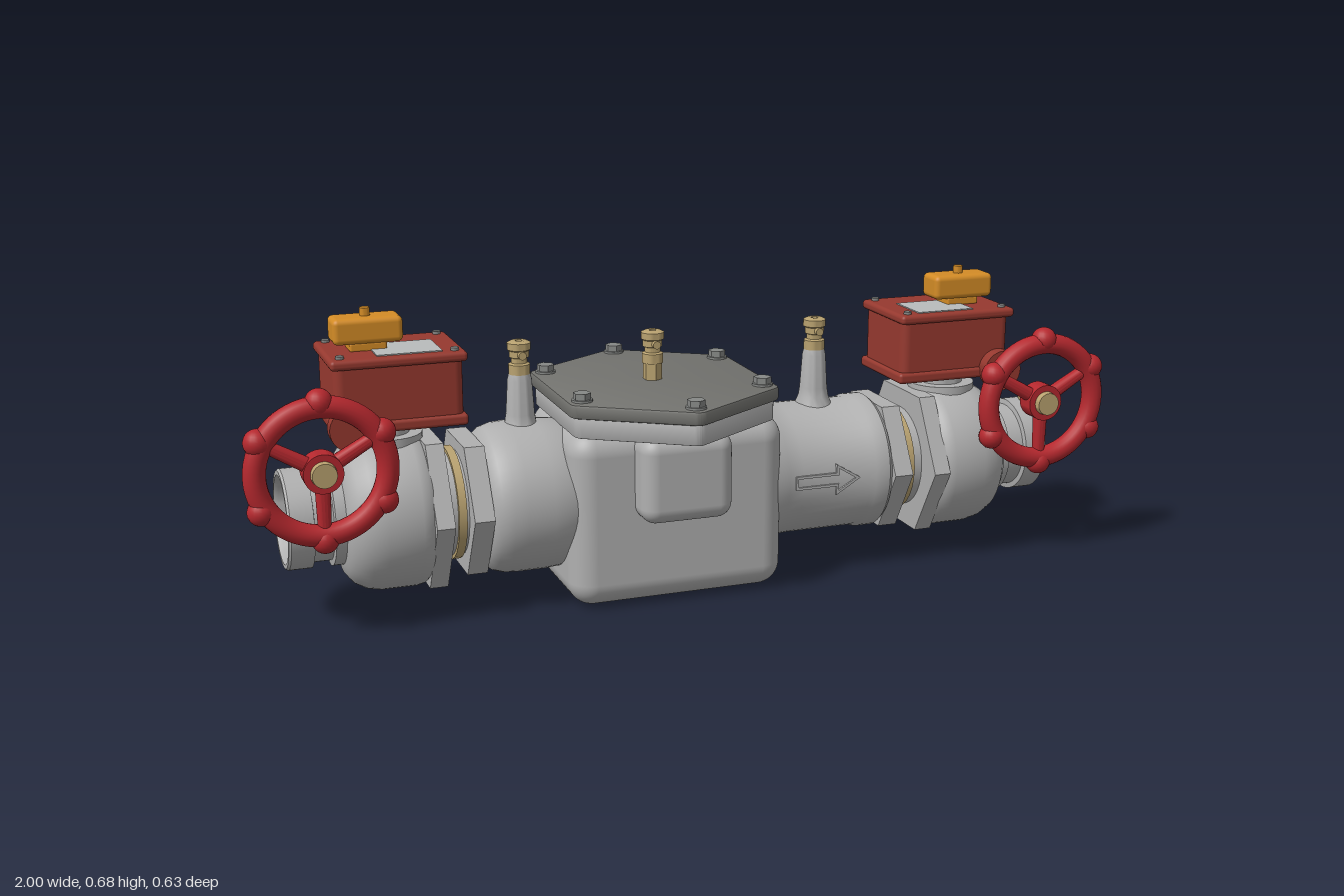
import * as THREE from 'three';
import { toCreasedNormals } from 'three/addons/utils/BufferGeometryUtils.js';
import { RoundedBoxGeometry } from 'three/addons/geometries/RoundedBoxGeometry.js';

const AXIS = 0.23; // height of the pipe centre line
const CX = -0.06; // centre of the check body

const mat = (name, color) => {
  const m = new THREE.MeshStandardMaterial({ color });
  m.name = name;
  return m;
};

export function createModel() {
  const cast = mat('cast grey', 0xb0b0b0);
  const dark = mat('cover grey', 0x73736f);
  const steel = mat('bolt steel', 0x868886);
  const boxRed = mat('housing red', 0x96392f);
  const wheelRed = mat('handwheel red', 0xb5282e);
  const orange = mat('indicator orange', 0xd48c26);
  const brass = mat('brass', 0xb9a270);
  const label = mat('label grey', 0xb9bcbc);

  const root = new THREE.Group();
  root.name = 'backflowPreventer';

  const add = (parent, name, geo, material, x = 0, y = 0, z = 0) => {
    const m = new THREE.Mesh(geo, material);
    m.name = name;
    m.position.set(x, y, z);
    parent.add(m);
    return m;
  };
  const crease = (g, a = 0.6) => toCreasedNormals(g, a);
  const lathe = (pts, n = 48) =>
    crease(new THREE.LatheGeometry(pts.map(p => new THREE.Vector2(p[0], p[1])), n));
  const cyl = (r, h, n = 32, r2 = r) => crease(new THREE.CylinderGeometry(r2, r, h, n));
  const rbox = (w, h, d, r, s = 4) => new RoundedBoxGeometry(w, h, d, s, r);
  const alongX = g => g.rotateZ(-Math.PI / 2);
  const alongZ = g => g.rotateX(Math.PI / 2);

  // Long hexagon plate with chamfered edges, lying flat with its base at y = 0
  const hexPlate = (hw, hz, side, h, b) => {
    const corners = [[0, hz], [hw, side], [hw, -side], [0, -hz], [-hw, -side], [-hw, side]]
      .map(p => new THREE.Vector2(p[0], p[1]));
    const s = new THREE.Shape();
    corners.forEach((c, i) => {
      const toward = q => c.clone().add(q.clone().sub(c).setLength(0.015));
      const a = toward(corners[(i + 5) % 6]), e = toward(corners[(i + 1) % 6]);
      if (i) s.lineTo(a.x, a.y); else s.moveTo(a.x, a.y);
      s.quadraticCurveTo(c.x, c.y, e.x, e.y);
    });
    s.closePath();
    const g = new THREE.ExtrudeGeometry(s, {
      depth: h - 2 * b, bevelThickness: b, bevelSize: b, bevelOffset: -b, bevelSegments: 2, curveSegments: 5,
    });
    return crease(g.rotateX(-Math.PI / 2).translate(0, b, 0), 0.5);
  };

  // Check body with its side bosses, flange and bolted cover
  const body = new THREE.Group();
  body.name = 'checkBody';
  root.add(body);
  add(body, 'bodyCasting', rbox(0.5, 0.4, 0.365, 0.055, 6), cast, CX + 0.005, 0.203, 0);
  add(body, 'bodyBase', rbox(0.4, 0.02, 0.27, 0.008), cast, CX, 0.01, 0);
  add(body, 'sideBosses', rbox(0.21, 0.195, 0.5, 0.035, 5), cast, CX, 0.3, 0);
  add(body, 'bodyFlange', hexPlate(0.232, 0.312, 0.16, 0.048, 0.003), cast, CX, 0.393, 0);
  add(body, 'cover', hexPlate(0.242, 0.319, 0.165, 0.032, 0.006), dark, CX, 0.438, 0);
  for (const [x, z] of [[0, 0.28], [0, -0.28], [0.21, 0.14], [0.21, -0.14], [-0.21, 0.14], [-0.21, -0.14]]) {
    add(body, 'coverBoltWasher', cyl(0.023, 0.006, 24), steel, CX + x, 0.472, z);
    add(body, 'coverBolt', cyl(0.02, 0.018, 6), steel, CX + x, 0.48, z);
  }
  // Splayed fins at the lower outlet side
  for (const s of [-1, 1]) {
    const fin = add(body, 'drainFin', rbox(0.05, 0.055, 0.036, 0.006, 2), cast, 0.193, 0.035, s * 0.025);
    fin.rotation.x = -s * 0.15;
  }

  // Barrels either side of the check body
  add(root, 'inletBarrel', alongX(lathe([
    [0, -0.478], [0.125, -0.478], [0.145, -0.472], [0.16, -0.455], [0.168, -0.43], [0.17, -0.4],
    [0.17, -0.34], [0.165, -0.28], [0.15, -0.25], [0, -0.25]])), cast, 0, AXIS);
  add(root, 'outletBarrel', alongX(lathe([
    [0, 0.1], [0.165, 0.1], [0.165, 0.19], [0.155, 0.215], [0.153, 0.25], [0.153, 0.42],
    [0.158, 0.43], [0.158, 0.465], [0.152, 0.473], [0, 0.473]])), cast, 0, AXIS);

  // Raised flow arrow on the outlet barrel
  const arrow = new THREE.Shape();
  [[-0.08, -0.016], [0.02, -0.016], [0.02, -0.036], [0.08, 0], [0.02, 0.036], [0.02, 0.016], [-0.08, 0.016]]
    .forEach((p, i) => (i ? arrow.lineTo(p[0], p[1]) : arrow.moveTo(p[0], p[1])));
  const inner = new THREE.Path();
  [[-0.074, -0.01], [-0.074, 0.01], [0.026, 0.01], [0.026, 0.026], [0.068, 0], [0.026, -0.026], [0.026, -0.01]]
    .forEach((p, i) => (i ? inner.lineTo(p[0], p[1]) : inner.moveTo(p[0], p[1])));
  arrow.holes.push(inner);
  add(root, 'flowArrow', new THREE.ExtrudeGeometry(arrow, { depth: 0.009, bevelEnabled: false }),
    cast, 0.31, AXIS + 0.005, 0.148);

  // Test cocks on grey risers, with the middle one straight on the cover
  const cockGeo = lathe([
    [0, 0], [0.024, 0], [0.024, 0.022], [0.018, 0.025], [0.018, 0.036], [0.022, 0.038], [0.022, 0.052],
    [0.026, 0.055], [0.026, 0.07], [0.018, 0.074], [0.008, 0.074], [0.008, 0.06], [0, 0.06]], 24);
  for (const [x, y] of [[-0.37, 0.508], [CX, 0.508], [0.337, 0.508]]) {
    const cock = new THREE.Group();
    cock.name = 'testCock';
    cock.position.set(x, y, 0);
    root.add(cock);
    add(cock, 'cockFitting', cockGeo, brass);
    add(cock, 'cockStem', alongZ(cyl(0.009, 0.064, 16)), brass, 0, 0.045, 0);
    if (x === CX) add(cock, 'cockBase', cyl(0.022, 0.042, 6), brass, 0, -0.02, 0);
    else add(cock, 'cockRiser', lathe([
      [0.045, -0.135], [0.035, -0.11], [0.032, -0.09], [0.027, -0.012], [0.024, 0], [0, 0]], 28), cast);
  }

  // Shutoff valve profile with grooved open end, as [radius, distance from centre]
  const valveProfile = [
    [0, 0.6], [0.16, 0.6], [0.17, 0.612], [0.174, 0.63], [0.174, 0.705], [0.168, 0.735], [0.154, 0.76],
    [0.132, 0.777], [0.11, 0.782], [0.11, 0.805], [0.098, 0.807], [0.098, 0.848], [0.11, 0.85],
    [0.11, 0.9], [0.106, 0.905], [0.097, 0.905], [0.092, 0.895], [0.088, 0.74], [0, 0.74]];

  for (const s of [-1, 1]) {
    const valve = new THREE.Group();
    valve.name = s < 0 ? 'inletValve' : 'outletValve';
    root.add(valve);

    // Pipe run: hex unions, neck and valve body
    add(valve, 'innerUnion', alongX(cyl(0.167, 0.045, 6)), cast, s * 0.497, AXIS);
    add(valve, 'unionNeck', alongX(cyl(0.118, 0.08)), cast, s * 0.54, AXIS);
    add(valve, 'unionSeal', alongX(cyl(0.126, 0.018)), brass, s * 0.535, AXIS);
    add(valve, 'outerUnion', alongX(cyl(0.187, 0.04, 6)), cast, s * 0.586, AXIS);
    add(valve, 'valveBody', alongX(lathe(valveProfile, 64)), cast, 0, AXIS).rotation.y = s < 0 ? Math.PI : 0;
    add(valve, 'gearPad', cyl(0.078, 0.05), cast, s * 0.67, 0.38);
    add(valve, 'gearNeck', cyl(0.05, 0.06), cast, s * 0.67, 0.41);

    // Gear housing, lid, screws and label
    const gx = s * 0.655;
    add(valve, 'housingBase', rbox(0.29, 0.025, 0.212, 0.008), boxRed, gx, 0.442, -0.003);
    add(valve, 'housing', rbox(0.276, 0.15, 0.2, 0.02), boxRed, gx, 0.512, -0.003);
    add(valve, 'housingLid', rbox(0.292, 0.022, 0.217, 0.009), boxRed, gx, 0.581, 0);
    for (const dx of [-0.122, 0.122]) for (const dz of [-0.085, 0.085])
      add(valve, 'lidScrew', cyl(0.009, 0.008, 16), steel, gx + dx, 0.594, dz);
    add(valve, 'lidLabel', new THREE.BoxGeometry(0.14, 0.003, 0.115), label, s * 0.63, 0.593, 0.032);
    add(valve, 'shaftBoss', alongZ(cyl(0.047, 0.03)), boxRed, s * 0.765, 0.448, 0.112);

    // Position indicator
    add(valve, 'indicatorNeck', cyl(0.03, 0.024), orange, s * 0.705, 0.6);
    add(valve, 'indicatorFoot', rbox(0.08, 0.02, 0.06, 0.005, 2), orange, s * 0.705, 0.6);
    add(valve, 'indicator', rbox(0.15, 0.056, 0.073, 0.012), orange, s * 0.705, 0.635);
    add(valve, 'indicatorKnob', cyl(0.011, 0.02, 20), orange, s * 0.705, 0.67);

    // Handwheel with knuckled rim and three spokes
    const wheel = new THREE.Group();
    wheel.name = 'handwheel';
    wheel.position.set(s * 0.84, 0.381, 0.178);
    valve.add(wheel);
    add(wheel, 'rim', new THREE.TorusGeometry(0.137, 0.024, 16, 60), wheelRed);
    for (let i = 0; i < 6; i++) {
      const a = Math.PI / 6 + i * Math.PI / 3;
      add(wheel, 'rimKnuckle', new THREE.SphereGeometry(0.029, 20, 14), wheelRed,
        0.147 * Math.cos(a), 0.147 * Math.sin(a), 0);
    }
    for (let i = 0; i < 3; i++) {
      const a = Math.PI / 6 + i * 2 * Math.PI / 3;
      add(wheel, 'spoke', cyl(0.017, 0.12, 16, 0.014), wheelRed, 0.075 * Math.cos(a), 0.075 * Math.sin(a), 0)
        .rotation.z = a - Math.PI / 2;
    }
    add(wheel, 'hub', alongZ(cyl(0.042, 0.045)), wheelRed);
    add(wheel, 'hubCap', alongZ(cyl(0.03, 0.037, 28, 0.026)), brass, 0, 0, 0.0185);
    add(wheel, 'wheelShaft', alongZ(cyl(0.02, 0.08, 24)), brass, 0, 0, -0.033);
  }

  // Small brass marker on the back of the inlet valve
  add(root, 'flowMarker', alongZ(cyl(0.022, 0.01, 3)).rotateZ(Math.PI), brass, -0.68, AXIS + 0.01, -0.174);

  return root;
}
